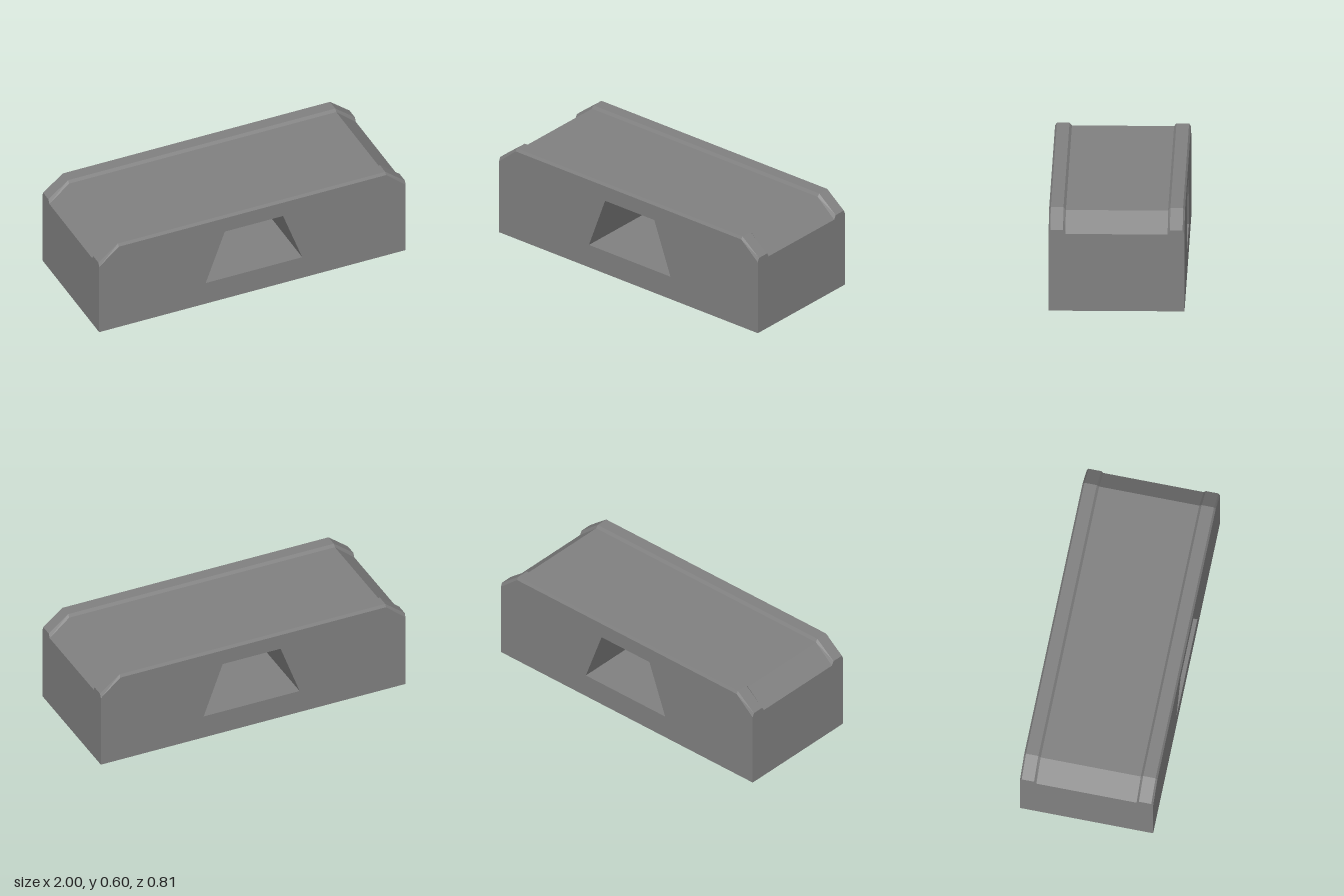
import * as THREE from 'three';

const grey = new THREE.MeshStandardMaterial({ color: 0x808080, side: THREE.DoubleSide, flatShading: true });
grey.name = 'concrete grey';

const HALF_X = 1, FLAT_X = 0.872, HALF_Z = 0.403;

// Cross-sections of the top, listed from +z to -z as [z, y]
const half = (edge, ridge) => [[HALF_Z, edge], [0.392, ridge], [0.317, ridge], [0.303, edge]];
const section = (edge, ridge) => {
  const h = half(edge, ridge);
  return [...h, ...h.slice().reverse().map(([z, y]) => [-z, y])];
};
const endSection = section(0.475, 0.5);
const midSection = section(0.585, 0.602);

// Sloped trapezoid opening through the body
const opening = [[-0.305, 0.15], [0.325, 0.15], [0.2, 0.488], [-0.18, 0.488]];

const toVectors = (pts) => pts.map(([a, b]) => new THREE.Vector2(a, b));

// Flat-shaded skin between successive rings of points
function loft(rings, closed) {
  const pos = [];
  for (let i = 0; i < rings.length - 1; i++) {
    const a = rings[i], b = rings[i + 1];
    const n = closed ? a.length : a.length - 1;
    for (let j = 0; j < n; j++) {
      const k = (j + 1) % a.length;
      pos.push(...a[j], ...b[j], ...b[k], ...a[j], ...b[k], ...a[k]);
    }
  }
  const g = new THREE.BufferGeometry();
  g.setAttribute('position', new THREE.Float32BufferAttribute(pos, 3));
  g.computeVertexNormals();
  return g;
}

export function createModel() {
  const model = new THREE.Group();
  model.name = 'barrierBlock';
  const add = (name, geometry) => {
    const mesh = new THREE.Mesh(geometry, grey);
    mesh.name = name;
    model.add(mesh);
    return mesh;
  };

  // Top deck with raised rails, dropping at both ends
  const stations = [[-HALF_X, endSection], [-FLAT_X, midSection], [FLAT_X, midSection], [HALF_X, endSection]];
  add('topDeck', loft(stations.map(([x, s]) => s.map(([z, y]) => [x, y, z])), false));

  // Long walls with the opening cut out
  const wall = new THREE.Shape(toVectors([
    [-HALF_X, 0], [HALF_X, 0], [HALF_X, 0.475], [FLAT_X, 0.585], [-FLAT_X, 0.585], [-HALF_X, 0.475],
  ]));
  wall.holes.push(new THREE.Path(toVectors(opening)));
  const wallGeometry = new THREE.ShapeGeometry(wall);
  add('frontWall', wallGeometry).position.z = HALF_Z;
  const back = add('backWall', wallGeometry);
  back.position.z = -HALF_Z;
  back.scale.z = -1;

  // End walls, following the rail outline
  const end = new THREE.Shape(toVectors([[-HALF_Z, 0], [HALF_Z, 0], ...endSection]));
  const endGeometry = new THREE.ShapeGeometry(end);
  for (const side of [1, -1]) {
    const mesh = add(side > 0 ? 'leftEnd' : 'rightEnd', endGeometry);
    mesh.rotation.y = side * Math.PI / 2;
    mesh.position.x = side * HALF_X;
  }

  // Lining of the through opening, facing inward
  add('tunnel', loft([HALF_Z, -HALF_Z].map((z) => opening.map(([x, y]) => [x, y, z])), true));

  return model;
}
